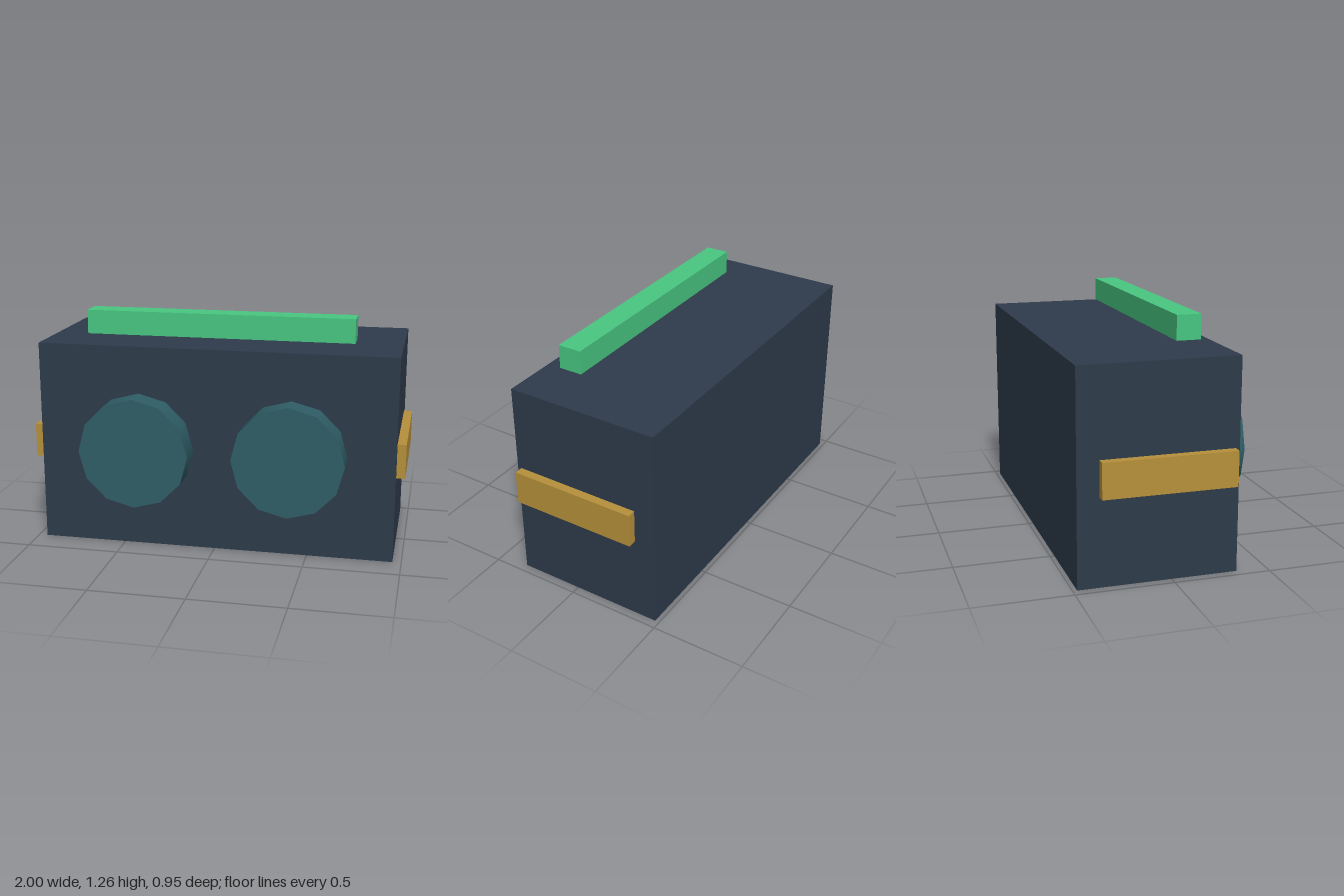
import * as THREE from 'three';

const material = (name, color) => {
  const m = new THREE.MeshStandardMaterial({ color });
  m.name = name;
  return m;
};

export function createModel() {
  const model = new THREE.Group();
  model.name = 'twinDialBox';

  const slate = material('slate', 0x2e3b4b);
  const teal = material('teal', 0x2f5e67);
  const gold = material('gold', 0xb7913b);
  const green = material('green', 0x48c781);

  const add = (name, geometry, mat, x, y, z) => {
    const mesh = new THREE.Mesh(geometry, mat);
    mesh.name = name;
    mesh.position.set(x, y, z);
    model.add(mesh);
    return mesh;
  };

  // Main housing
  add('body', new THREE.BoxGeometry(1.908, 1.092, 0.817), slate, 0, 0.546, -0.0685);

  // Bar hovering just above the top
  add('topBar', new THREE.BoxGeometry(1.43, 0.127, 0.127), green, 0, 1.194, 0.159);

  // Mirrored front discs and side plates
  const disc = new THREE.CylinderGeometry(0.295, 0.295, 0.147, 12).rotateX(Math.PI / 2);
  const plate = new THREE.BoxGeometry(0.056, 0.182, 0.684);
  for (const [side, s] of [['left', 1], ['right', -1]]) {
    add(side + 'Disc', disc, teal, s * 0.409, 0.546, 0.4035);
    add(side + 'Plate', plate, gold, s * 0.972, 0.546, -0.023);
  }

  return model;
}
